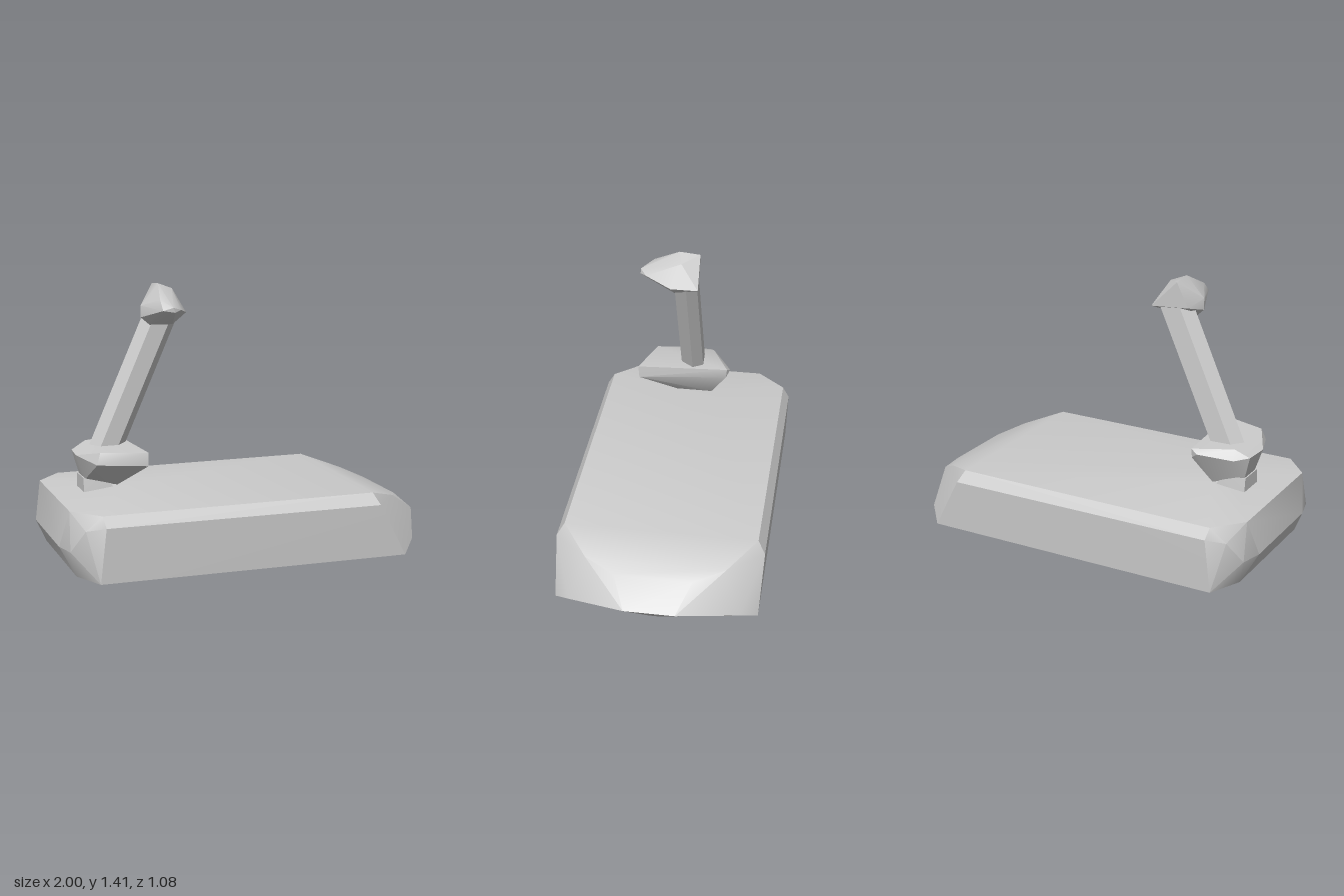
import * as THREE from 'three';
import { ConvexGeometry } from 'three/addons/geometries/ConvexGeometry.js';
import { toCreasedNormals } from 'three/addons/utils/BufferGeometryUtils.js';

const material = new THREE.MeshStandardMaterial({ color: 0xcccccc });

// Faceted solid wrapped around a few corner points, softly shaded over shallow edges
function hull(name, points, crease = 0.5) {
  const geometry = new ConvexGeometry(points.map((p) => new THREE.Vector3(...p)));
  const mesh = new THREE.Mesh(toCreasedNormals(geometry, crease), material);
  mesh.name = name;
  return mesh;
}

// Repeat points on the other side of the z = 0 plane
const mirrorZ = (points) => points.flatMap(([x, y, z]) => [[x, y, z], [x, y, -z]]);

export function createModel() {
  const group = new THREE.Group();
  group.name = 'model';

  // Long slab with chamfered rear corners and a pointed nose
  group.add(hull('base', mirrorZ([
    [-0.65, 0.385, 0.12], [-0.96, 0.335, 0.35], [-0.83, 0.335, 0.5],
    [0.6, 0.34, 0.5], [0.63, 0.28, 0.538], [-0.82, 0.28, 0.535],
    [-1, 0.14, 0.28], [-0.97, 0.14, 0.4], [-0.91, 0.26, 0.48],
    [-0.93, 0, 0.35], [-0.85, 0, 0.525], [0.78, 0, 0.525],
    [0.86, 0.06, 0.44], [0.86, 0.25, 0.2], [0.78, 0.28, 0.36],
    [1, 0.14, 0.13], [0.86, 0, 0.02],
  ])));

  // Short foot joining the cup to the slab
  group.add(hull('foot', mirrorZ([
    [-0.82, 0.43, 0.07], [-0.7, 0.43, 0.09], [-0.82, 0.34, 0.08], [-0.66, 0.36, 0.1],
  ])));

  // Flaring cup with a flat top
  group.add(hull('cup', [
    [-0.54, 0.59, 0.305], [-0.54, 0.52, 0.3], [-0.77, 0.59, 0.23], [-0.79, 0.53, 0.245],
    [-0.855, 0.55, 0.06], [-0.845, 0.55, -0.08], [-0.77, 0.59, -0.1], [-0.78, 0.54, -0.135],
    [-0.61, 0.57, -0.21], [-0.575, 0.59, -0.195], [-0.575, 0.54, -0.19],
    [-0.81, 0.42, 0.06], [-0.81, 0.42, -0.06], [-0.65, 0.39, 0.1], [-0.65, 0.39, -0.1],
  ]));

  // Leaning arm: one six-sided section swept up at a slant
  const section = [[-0.1, 0.01], [-0.055, 0.075], [0.04, 0.07], [0.095, 0], [0.06, -0.055], [-0.05, -0.05]];
  const stations = [[-0.712, 0.5], [-0.372, 1.27]];
  group.add(hull('arm', stations.flatMap(([x, y]) => section.map(([dx, z]) => [x + dx, y, z])), 0.8));

  // Wedge-shaped head pointing forwards
  group.add(hull('head', [
    [-0.41, 1.41, 0.05], [-0.33, 1.38, 0.03], [-0.41, 1.4, -0.06], [-0.27, 1.26, -0.065],
    [-0.47, 1.27, -0.05], [-0.27, 1.26, 0.08], [-0.34, 1.2, 0.07], [-0.46, 1.2, 0.07],
    [-0.505, 1.24, 0.06], [-0.505, 1.3, 0.06], [-0.44, 1.34, 0.19], [-0.34, 1.29, 0.22],
    [-0.44, 1.29, 0.245], [-0.39, 1.305, 0.255], [-0.38, 1.28, 0.255],
  ]));

  return group;
}
